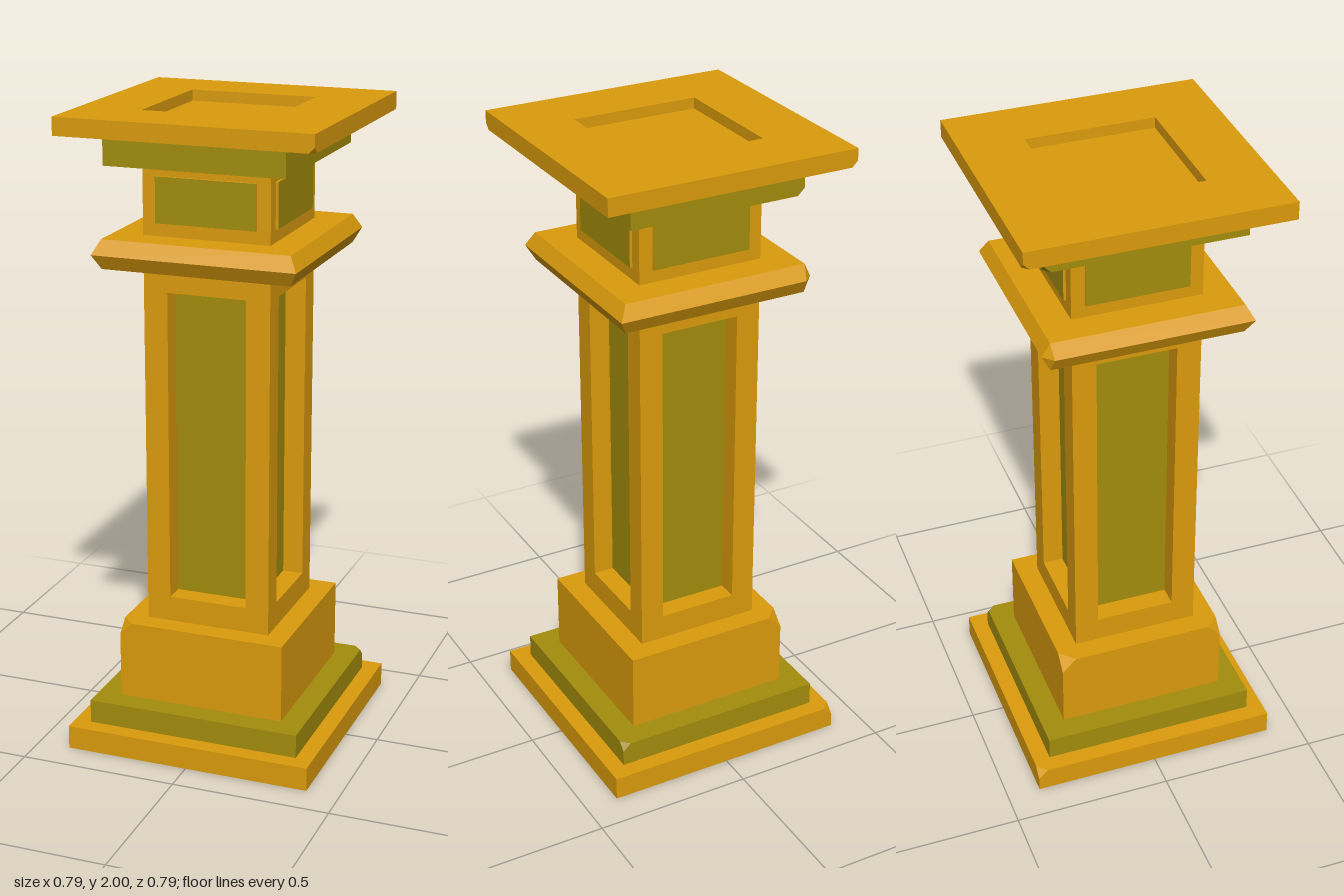
import * as THREE from 'three';
import { ConvexGeometry } from 'three/addons/geometries/ConvexGeometry.js';

const stone = new THREE.MeshStandardMaterial({ color: 0xdc9c0c, flatShading: true });
const trim = new THREE.MeshStandardMaterial({ color: 0xa38d0c, flatShading: true });
const SIGNS = [-1, 1];

export function createModel() {
  const group = new THREE.Group();

  const add = (name, geometry, material, parent = group) => {
    const mesh = new THREE.Mesh(geometry, material);
    mesh.name = name;
    parent.add(mesh);
    return mesh;
  };

  // Square slab; each chip [sx, sy, sz, size] cuts one corner off
  const slab = (name, hx, hz, y0, y1, material, chips = []) => {
    const points = [];
    for (const sx of SIGNS) for (const sy of SIGNS) for (const sz of SIGNS) {
      const x = sx * hx, y = sy > 0 ? y1 : y0, z = sz * hz;
      const chip = chips.find(c => c[0] === sx && c[1] === sy && c[2] === sz);
      if (!chip) { points.push(new THREE.Vector3(x, y, z)); continue; }
      const d = chip[3];
      points.push(
        new THREE.Vector3(x - sx * d, y, z),
        new THREE.Vector3(x, y - sy * d, z),
        new THREE.Vector3(x, y, z - sz * d));
    }
    return add(name, new ConvexGeometry(points), material);
  };

  // Stepped base
  slab('basePlate', 0.395, 0.395, 0, 0.075, stone, [[-1, 1, -1, 0.03]]);
  slab('baseTrim', 0.342, 0.342, 0.075, 0.15, trim, [[1, 1, -1, 0.025]]);
  slab('plinth', 0.268, 0.268, 0.15, 0.4, stone, [[-1, 1, 1, 0.04], [-1, 1, -1, 0.045]]);

  // Shaft: corner posts and solid ends around a recessed core
  slab('shaftBottom', 0.2, 0.2, 0.4, 0.48, stone);
  slab('shaftPanels', 0.135, 0.135, 0.48, 1.46, trim);
  slab('shaftTop', 0.2, 0.2, 1.46, 1.56, stone);
  for (const sx of SIGNS) for (const sz of SIGNS) {
    add('shaftPost', new THREE.BoxGeometry(0.075, 0.98, 0.075), stone)
      .position.set(sx * 0.1625, 0.97, sz * 0.1625);
  }

  // Collar with a pointed edge and one worn corner
  const collar = [];
  for (const sx of SIGNS) for (const sz of SIGNS) {
    for (const y of [1.54, 1.63]) collar.push(new THREE.Vector3(sx * 0.294, y, sz * 0.294));
    const inset = sx < 0 && sz < 0 ? 0.03 : 0;
    collar.push(new THREE.Vector3(sx * (0.318 - inset), 1.585, sz * 0.318));
    if (inset) collar.push(new THREE.Vector3(sx * 0.318, 1.585, sz * (0.318 - inset)));
  }
  add('collar', new ConvexGeometry(collar), stone);

  // Neck with a slightly raised panel on each side
  slab('neck', 0.2, 0.2, 1.62, 1.86, stone);
  for (let i = 0; i < 4; i++) {
    const side = new THREE.Group();
    side.name = 'neckSide';
    side.rotation.y = i * Math.PI / 2;
    group.add(side);
    add('neckPanel', new THREE.BoxGeometry(0.315, 0.14, 0.03),
      [stone, stone, stone, stone, trim, stone], side).position.set(0, 1.74, 0.193);
  }

  // Capital
  slab('capTrim', 0.28, 0.303, 1.85, 1.945, trim, [[-1, -1, -1, 0.022]]);
  slab('capPlate', 0.395, 0.395, 1.945, 1.966, stone, [[1, -1, 1, 0.018], [-1, -1, -1, 0.018]]);

  // Raised border around the square recess in the top
  const square = (Type, h) => new Type([[-h, -h], [h, -h], [h, h], [-h, h]]
    .map(([x, y]) => new THREE.Vector2(x, y)));
  const border = square(THREE.Shape, 0.395);
  border.holes.push(square(THREE.Path, 0.2));
  const rim = new THREE.ExtrudeGeometry(border, { depth: 0.034, bevelEnabled: false });
  rim.rotateX(-Math.PI / 2).translate(0, 1.966, 0);
  add('capRim', rim, stone);

  return group;
}
